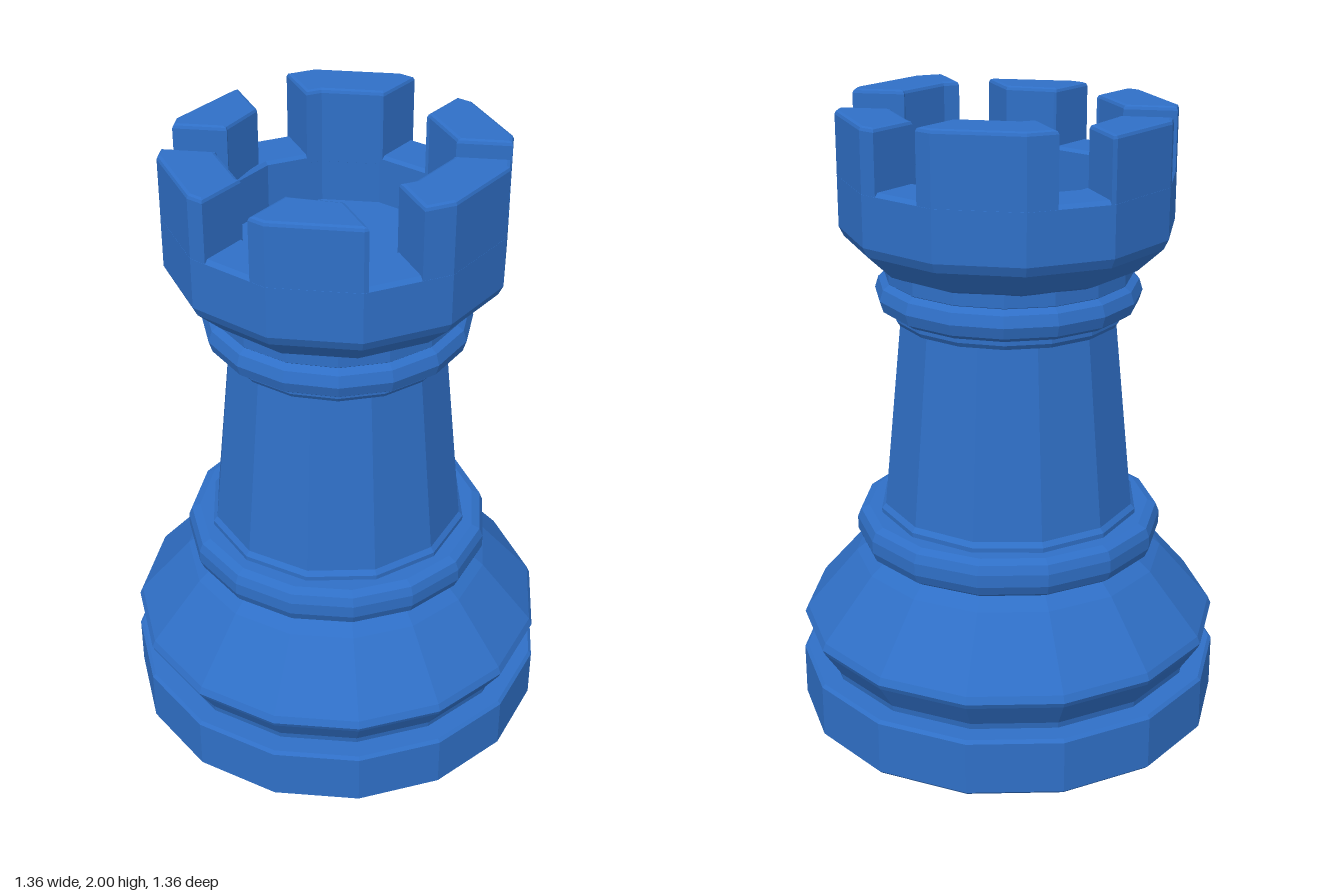
import * as THREE from 'three';

const RAD = Math.PI / 180;
const blue = new THREE.MeshStandardMaterial({ color: 0x2f6fc6 });
blue.name = 'blue';

// Faceted mesh with one normal per face
function facet(name, geometry) {
  const geo = geometry.index ? geometry.toNonIndexed() : geometry;
  geo.computeVertexNormals();
  const mesh = new THREE.Mesh(geo, blue);
  mesh.name = name;
  return mesh;
}

// Turned part from [radius, height] points, listed from bottom to top
function turned(name, profile, sides, startDeg, warpDeg = 0) {
  const geo = new THREE.LatheGeometry(profile.map(([r, y]) => new THREE.Vector2(r, y)), sides, startDeg * RAD);
  if (warpDeg) {
    // Slightly uneven side widths, like a hand-cut block
    const p = geo.attributes.position;
    for (let i = 0; i < p.count; i++) {
      const r = Math.hypot(p.getX(i), p.getZ(i));
      const a = Math.atan2(p.getZ(i), p.getX(i));
      const b = a + warpDeg * RAD * Math.cos(a);
      p.setX(i, r * Math.cos(b));
      p.setZ(i, r * Math.sin(b));
    }
  }
  return facet(name, geo);
}

// Battlement block between two slots; offsets are measured from the slot centre lines
function merlon(name, angleDeg, lowOffset, highOffset, top) {
  const outer = 0.502, inner = 0.338;
  const points = [];
  const slotPoint = (t, side, h) => {
    const a = (angleDeg + side * 30) * RAD;
    return new THREE.Vector2(t * Math.cos(a) + side * h * Math.sin(a), t * Math.sin(a) - side * h * Math.cos(a));
  };
  const corner = (apothem, side) => {
    const a = (angleDeg + side * 15) * RAD, r = apothem / Math.cos(15 * RAD);
    return new THREE.Vector2(r * Math.cos(a), r * Math.sin(a));
  };
  points.push(slotPoint(outer, -1, lowOffset), corner(outer, -1), corner(outer, 1), slotPoint(outer, 1, highOffset));
  if (highOffset < 0.09) points.push(slotPoint(inner, 1, highOffset), corner(inner, 1));
  else points.push(slotPoint(inner, 1, highOffset));
  if (lowOffset < 0.09) points.push(corner(inner, -1), slotPoint(inner, -1, lowOffset));
  else points.push(slotPoint(inner, -1, lowOffset));

  const bevel = 0.012, bottom = 1.75;
  const geo = new THREE.ExtrudeGeometry(new THREE.Shape(points), {
    depth: top - bottom - 2 * bevel,
    bevelEnabled: true, bevelSize: bevel, bevelOffset: -bevel, bevelThickness: bevel, bevelSegments: 2,
  });
  geo.rotateX(-Math.PI / 2);
  geo.translate(0, bottom + bevel, 0);
  return facet(name, geo);
}

export function createModel() {
  const model = new THREE.Group();
  model.name = 'rook';

  // Foot and flared base
  model.add(turned('foot', [
    [0, 0], [0.675, 0], [0.685, 0.01], [0.685, 0.18], [0.675, 0.19], [0, 0.19],
  ], 15, 6, 3));
  model.add(turned('flaredBase', [
    [0, 0.18], [0.61, 0.18], [0.615, 0.21], [0.67, 0.295], [0.678, 0.312], [0.668, 0.335],
    [0.5, 0.53], [0.45, 0.57], [0, 0.58],
  ], 15, 6, 3));
  model.add(turned('lowerRing', [
    [0, 0.56], [0.45, 0.56], [0.48, 0.58], [0.493, 0.61], [0.493, 0.65], [0.482, 0.678], [0.455, 0.69], [0, 0.695],
  ], 15, 6, 3));

  // Tapered shaft
  model.add(turned('shaft', [
    [0, 0.68], [0.42, 0.68], [0.42, 0.705], [0.407, 0.72], [0.345, 1.33], [0, 1.34],
  ], 12, 24));

  // Neck rings
  model.add(turned('neckBand', [
    [0, 1.325], [0.355, 1.325], [0.365, 1.34], [0.365, 1.38], [0, 1.38],
  ], 16, 0));
  model.add(turned('neckRing', [
    [0, 1.36], [0.385, 1.36], [0.407, 1.375], [0.418, 1.41], [0.407, 1.445], [0.385, 1.46], [0, 1.46],
  ], 16, 0));
  model.add(turned('collar', [
    [0, 1.45], [0.375, 1.45], [0.388, 1.462], [0.388, 1.51], [0, 1.51],
  ], 16, 0));

  // Crown bowl with the sunken floor
  model.add(turned('crown', [
    [0, 1.5], [0.39, 1.5], [0.425, 1.515], [0.505, 1.59], [0.52, 1.62], [0.52, 1.778],
    [0.508, 1.79], [0.36, 1.79], [0.35, 1.78], [0.35, 1.63], [0, 1.63],
  ], 12, 15));

  // Six battlements; the front and back slots sit a little off centre
  const blocks = [
    ['rightSideMerlon', 0, 0.08, 0.08, 1.975], ['backMerlonA', 60, 0.08, 0.04, 2],
    ['backMerlonB', 120, 0.12, 0.08, 1.975], ['sideMerlon', 180, 0.08, 0.08, 1.975],
    ['frontMerlonB', 240, 0.08, 0.12, 1.975], ['frontMerlonA', 300, 0.04, 0.08, 2],
  ];
  blocks[0][0] = 'leftMerlon';
  blocks[3][0] = 'rightMerlon';
  for (const b of blocks) model.add(merlon(...b));

  return model;
}
